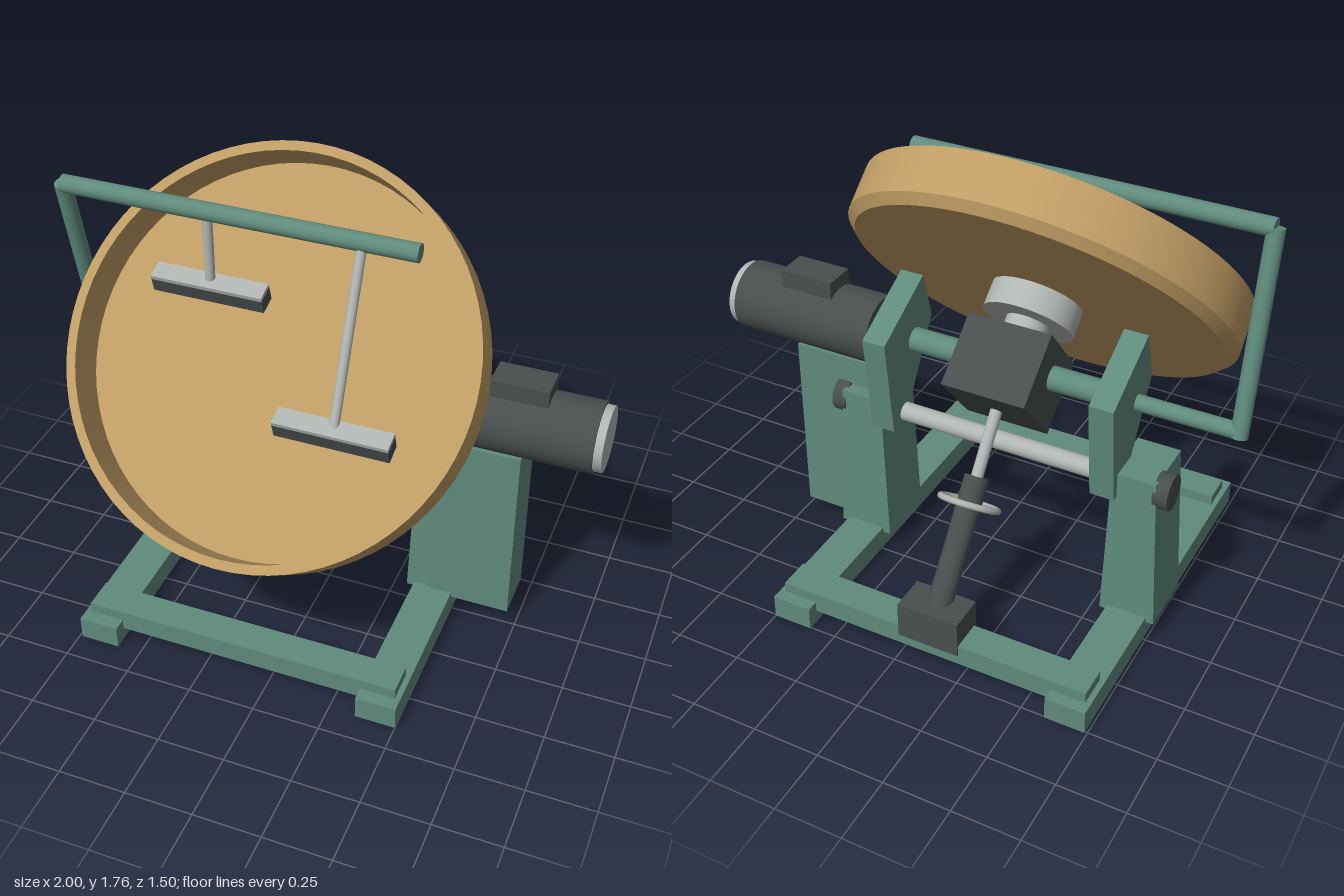
import * as THREE from 'three';
import { toCreasedNormals } from 'three/addons/utils/BufferGeometryUtils.js';

const material = (color) => new THREE.MeshStandardMaterial({ color });
const V = (x, y, z) => new THREE.Vector3(x, y, z);

export function createModel() {
  const green = material(0x5f8a7c);
  const dark = material(0x484e4e);
  const light = material(0xb0b5b2);
  const sand = material(0xbf9c64);
  const model = new THREE.Group();
  const CX = -0.12, PY = 0.89, PZ = -0.085; // machine centre line and tilt axis

  const add = (name, geometry, mat, parent = model) => {
    const mesh = new THREE.Mesh(geometry, mat);
    mesh.name = name;
    parent.add(mesh);
    return mesh;
  };
  // box from its minimum and maximum on each axis
  const box = (name, mat, [x0, x1], [y0, y1], [z0, z1], parent = model) => {
    const mesh = add(name, new THREE.BoxGeometry(x1 - x0, y1 - y0, z1 - z0), mat, parent);
    mesh.position.set((x0 + x1) / 2, (y0 + y1) / 2, (z0 + z1) / 2);
    return mesh;
  };
  // round bar between two points
  const rod = (name, mat, a, b, r, parent = model, sides = 32) => {
    const mesh = add(name, new THREE.CylinderGeometry(r, r, a.distanceTo(b), sides), mat, parent);
    mesh.position.copy(a).lerp(b, 0.5);
    mesh.quaternion.setFromUnitVectors(V(0, 1, 0), b.clone().sub(a).normalize());
    return mesh;
  };

  // base frame
  for (const x of [-0.74, 0.35]) box('sideRail', green, [x, x + 0.15], [0, 0.09], [-0.755, 0.65]);
  for (const z of [-0.71, 0.48]) box('crossRail', green, [-0.72, 0.48], [0.05, 0.13], [z, z + 0.12]);

  // tapered posts, cheek plates, trunnions and clamp knobs, mirrored about the centre line
  const cheekShape = new THREE.Shape([
    [0.015, 1.12], [-0.04, 0.93], [0.17, 0.585], [0.255, 0.585], [0.295, 0.975],
  ].map(([x, y]) => new THREE.Vector2(x, y)));
  for (const s of [-1, 1]) {
    const post = new THREE.BoxGeometry(0.21, 0.61, 0.24);
    const p = post.attributes.position;
    for (let i = 0; i < p.count; i++) {
      if (p.getY(i) > 0) p.setXYZ(i, p.getX(i) * 0.77 - s * 0.005, p.getY(i), p.getZ(i) * 0.95);
    }
    post.computeVertexNormals();
    add('taperedPost', post, green).position.set(CX + s * 0.545, 0.375, -0.115);

    const cheek = add('cheekPlate',
      new THREE.ExtrudeGeometry(cheekShape, { depth: 0.09, bevelEnabled: false }), green);
    cheek.rotation.y = Math.PI / 2;
    cheek.position.x = CX + s * 0.435 - 0.045;

    rod('trunnion', green, V(CX + s * 0.14, PY, PZ), V(CX + s * 0.42, PY, PZ), 0.045);
    rod('clampKnob', dark, V(CX + s * 0.61, 0.625, -0.17), V(CX + s * 0.665, 0.625, -0.17), 0.065);
  }
  rod('tieRod', light, V(CX - 0.62, 0.625, -0.17), V(CX + 0.62, 0.625, -0.17), 0.035);

  // motor on its pedestal
  box('motorPedestal', green, [0.4, 0.72], [0.07, 0.79], [-0.18, 0.015]);
  rod('motor', dark, V(0.4, PY, PZ), V(0.97, PY, PZ), 0.13, model, 48);
  rod('motorCap', light, V(0.96, PY, PZ), V(1, PY, PZ), 0.12, model, 48);
  box('terminalBox', dark, [0.58, 0.79], [0.97, 1.07], [-0.15, -0.025]);

  // tilting head: local y is the pan axis
  const head = new THREE.Group();
  head.name = 'tiltingHead';
  head.position.set(CX, PY, PZ);
  head.rotation.x = THREE.MathUtils.degToRad(50);
  model.add(head);
  box('gearbox', dark, [-0.16, 0.16], [-0.165, 0.11], [-0.15, 0.15], head);
  rod('driveShaft', light, V(0, 0.1, 0), V(0, 0.18, 0), 0.08, head);
  rod('hub', light, V(0, 0.17, 0), V(0, 0.275, 0), 0.17, head, 48);
  const panProfile = [
    [0, 0.27], [0.7, 0.27], [0.737, 0.302], [0.737, 0.47], [0.703, 0.47], [0.7, 0.305], [0, 0.305],
  ].map(([x, y]) => new THREE.Vector2(x, y));
  add('pan', toCreasedNormals(new THREE.LatheGeometry(panProfile, 72), 0.5), sand, head);

  // tilt jack with handwheel
  box('jackFoot', dark, [-0.235, 0], [0.09, 0.23], [-0.715, -0.575]);
  const low = V(CX, 0.19, -0.645), top = V(CX, 0.58, -0.345);
  const along = top.clone().sub(low).normalize();
  rod('jackBody', dark, low, top, 0.045);
  rod('jackScrew', light, top, top.clone().addScaledVector(along, 0.3), 0.022);
  const wheel = new THREE.Group();
  wheel.name = 'handwheel';
  wheel.position.copy(low).addScaledVector(along, 0.395);
  wheel.quaternion.setFromUnitVectors(V(0, 0, 1), along);
  model.add(wheel);
  add('wheelRim', new THREE.TorusGeometry(0.104, 0.012, 12, 48), light, wheel);
  for (let i = 0; i < 2; i++) {
    const a = Math.PI / 4 + i * Math.PI / 2, x = 0.104 * Math.cos(a), y = 0.104 * Math.sin(a);
    rod('wheelSpoke', light, V(-x, -y, 0), V(x, y, 0), 0.008, wheel, 12);
  }

  // pipe arm over the pan
  const barY = 1.577, barZ = 0.075;
  rod('lowerArm', green, V(-0.55, PY, PZ), V(-0.967, PY, PZ), 0.03);
  rod('uprightArm', green, V(-0.967, PY - 0.02, PZ - 0.004), V(-0.967, barY, barZ), 0.031);
  rod('scraperBar', green, V(-0.967, barY, barZ), V(0.345, barY, barZ), 0.033);

  // scrapers hanging from the arm
  for (const [x, y, z] of [[-0.415, 1.278, 0.075], [0.145, 0.972, 0.335]]) {
    rod('scraperRod', light, V(x, barY, barZ), V(x, y + 0.02, z), 0.018, model, 20);
    const scraper = new THREE.Group();
    scraper.name = 'scraper';
    scraper.position.set(x, y, z);
    scraper.rotation.x = 0.3;
    model.add(scraper);
    box('bladeHolder', light, [-0.21, 0.21], [0.02, 0.036], [-0.036, 0.036], scraper);
    box('blade', dark, [-0.21, 0.21], [-0.036, 0.02], [-0.036, 0.036], scraper);
  }
  return model;
}
